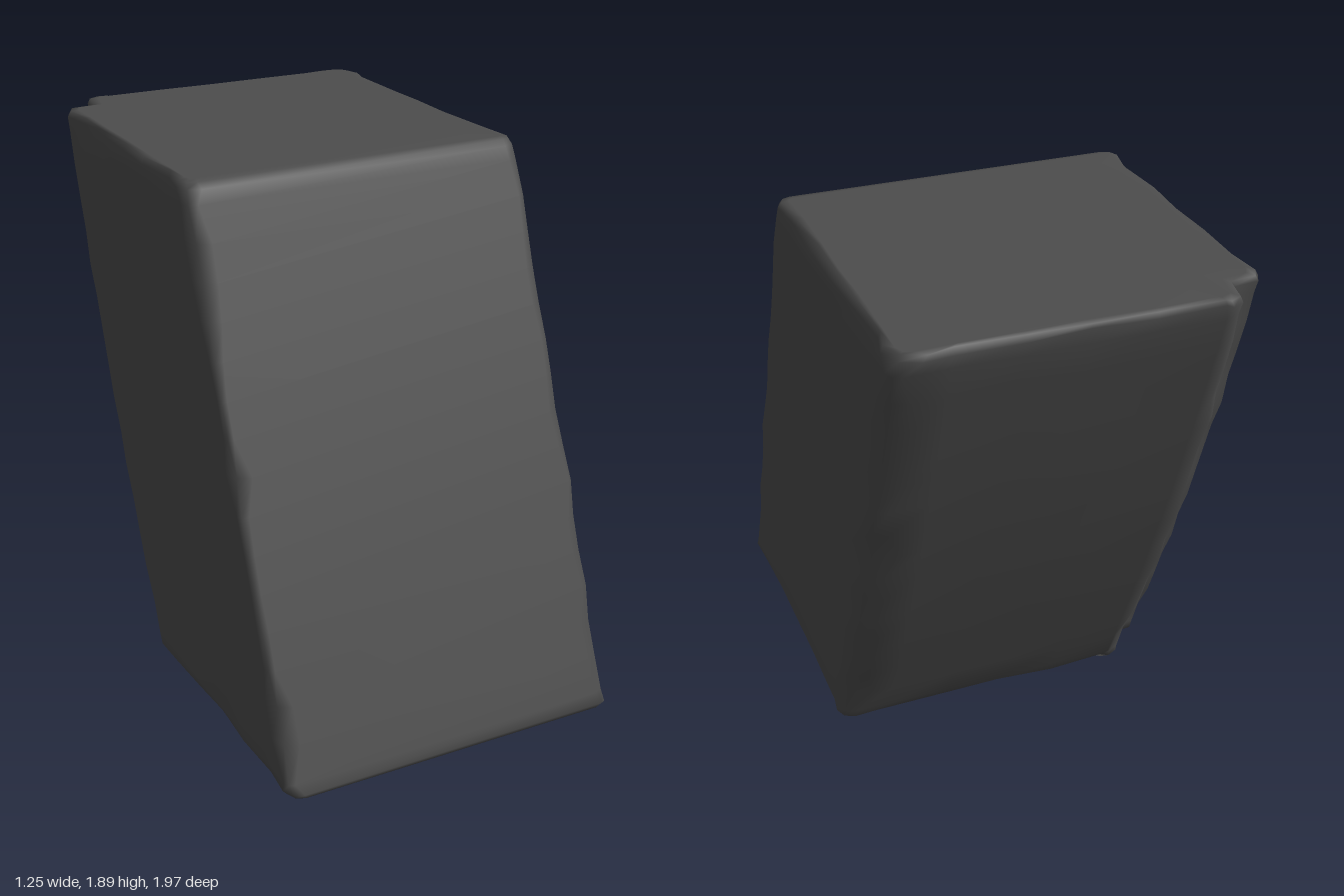
import * as THREE from 'three';

const HALF = 0.625, HEIGHT = 1.89, LEAN = 0.745;

// Small seeded generator for the chipped edges
function seeded(seed) {
  return () => {
    seed = (seed * 16807) % 2147483647;
    return seed / 2147483647;
  };
}

// One horizontal outline of the block, anticlockwise from above: [x, z] pairs
function outline(rand, notch, wobble, bulge) {
  const H = HALF, pts = [];
  const chip = (min, max) => min + (max - min) * rand();
  // Points along an edge, pushed slightly inwards
  const edge = (x0, z0, x1, z1, nx, nz) => {
    for (const t of [0.15, 0.33, 0.5, 0.67, 0.85]) {
      const d = wobble * rand();
      pts.push([x0 + (x1 - x0) * t - nx * d, z0 + (z1 - z0) * t - nz * d]);
    }
  };
  // Worn corner: cut of size a, rounded by a middle point
  const corner = (sx, sz, a, startsOnX) => {
    const b = a * 0.3, back = sz < 0 ? -bulge : 0;
    const p = [
      [sx * H, sz * (H - a)],
      [sx * (H - b), sz * (H - b) + back * 0.6],
      [sx * (H - a), sz * H + back],
    ];
    pts.push(...(startsOnX ? p : p.reverse()));
  };
  corner(1, 1, chip(0.015, 0.06), false);
  edge(H, H, H, -H, 1, 0);
  corner(1, -1, chip(0.04, 0.11), true);
  edge(H, -H - bulge, -H, -H - bulge, 0, -1);
  // Broken-out groove at the rear corner
  const n = notch;
  pts.push([-H + n + 0.04, -H - bulge], [-H + n, -H + 0.02],
    [-H + n - 0.02, -H + n - 0.01], [-H + 0.02, -H + n], [-H, -H + n + 0.04]);
  edge(-H, -H + n, -H, H, -1, 0);
  corner(-1, 1, chip(0.015, 0.07), true);
  return pts;
}

function blockGeometry() {
  const rand = seeded(4217);
  // [height, scale of outline, rim wobble, groove size]
  const levels = [[0.004, 0, 0, 0.13], [0.004, 0.6, 0, 0.13], [0.004, 0.93, 0.01, 0.13],
    [0.01, 0.965, 0.02, 0.14], [0.03, 0.995, 0.025, 0.14], [0.07, 1, 0.006, 0.14]];
  const steps = 15;
  for (let i = 1; i < steps; i++) {
    const t = i / steps;
    levels.push([0.07 + 1.75 * t, 1, 0.004, 0.14 - 0.05 * Math.sin(Math.PI * t)]);
  }
  levels.push([1.82, 1, 0.006, 0.14], [1.865, 0.998, 0.025, 0.14], [1.885, 0.98, 0.025, 0.14],
    [HEIGHT, 0.94, 0.01, 0.13], [HEIGHT, 0.6, 0, 0.13], [HEIGHT, 0, 0, 0.13]);

  const pos = [], index = [];
  let count = 0;
  levels.forEach(([y, s, wobble, notch], row) => {
    const t = y / HEIGHT;
    const bulge = 0.035 * Math.sin(Math.PI * t);
    const ring = outline(rand, notch + 0.02 * (rand() - 0.5), wobble, bulge);
    count = ring.length;
    const shift = LEAN * (0.5 - t);
    ring.forEach(([x, z], j) => {
      pos.push(x * s, y, z * s + shift);
      if (row === 0) return;
      const a = (row - 1) * count + j, b = (row - 1) * count + (j + 1) % count;
      index.push(a, b, b + count, a, b + count, a + count);
    });
  });
  const g = new THREE.BufferGeometry();
  g.setAttribute('position', new THREE.Float32BufferAttribute(pos, 3));
  g.setIndex(index);
  g.computeVertexNormals();
  return g;
}

export function createModel() {
  const group = new THREE.Group();
  group.name = 'leaningStone';
  const stone = new THREE.MeshStandardMaterial({ color: 0x4d4d4d });
  stone.name = 'dark grey stone';
  const block = new THREE.Mesh(blockGeometry(), stone);
  block.name = 'stoneBlock';
  group.add(block);
  return group;
}
